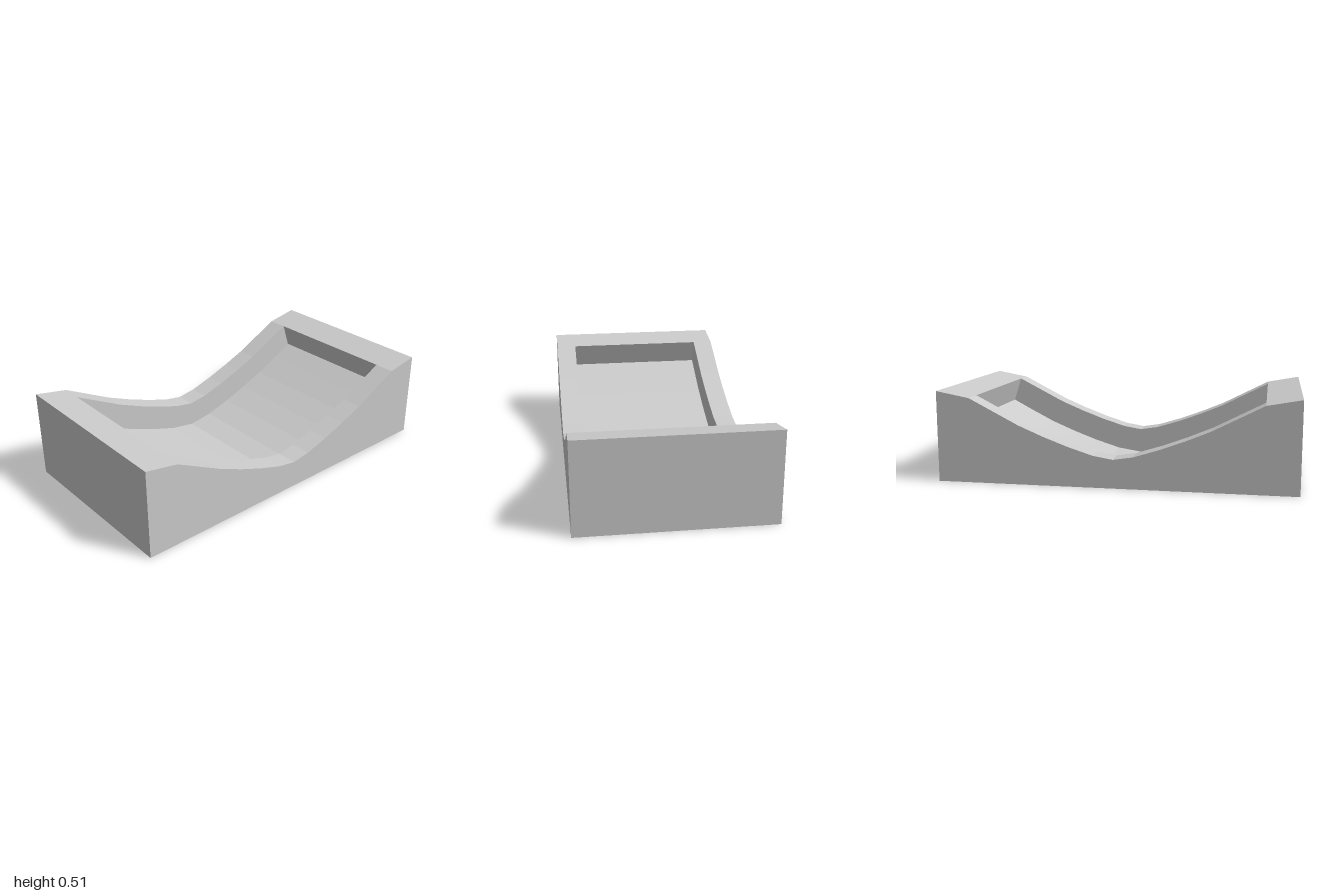
import * as THREE from 'three';

// right half of the curved top, from the lowest point outwards: [x, y]
const HALF = [[0, 0.16], [0.11, 0.178], [0.25, 0.222], [0.39, 0.274], [0.53, 0.333], [0.67, 0.405], [0.81, 0.477], [1, 0.512]];
const DEPTH = 0.15;      // recess depth, measured square to the curve
const HALF_WIDTH = 0.53; // outer half width in z
const HALF_POCKET = 0.41; // recess half width in z

const mirror = (half) => [...half.slice(1).reverse().map(([x, y]) => [-x, y]), ...half];

// shift each point of the half curve down along its normal
function sunken(half) {
  return half.slice(0, -1).map(([x, y], i) => {
    if (i === 0) return [0, y - DEPTH];
    const [x0, y0] = half[i - 1], [x1, y1] = half[i + 1];
    const len = Math.hypot(x1 - x0, y1 - y0);
    return [x + DEPTH * (y1 - y0) / len, y - DEPTH * (x1 - x0) / len];
  });
}

// extrude the area between the base and a top outline from z0 to z1
function slab(name, top, z0, z1, material) {
  const points = [[-1, 0], [1, 0], ...top.slice().reverse()];
  const shape = new THREE.Shape(points.map(([x, y]) => new THREE.Vector2(x, y)));
  const geometry = new THREE.ExtrudeGeometry(shape, { depth: z1 - z0, bevelEnabled: false });
  geometry.translate(0, 0, z0);
  const mesh = new THREE.Mesh(geometry, material);
  mesh.name = name;
  return mesh;
}

export function createModel() {
  const group = new THREE.Group();
  group.name = 'curvedTray';
  const material = new THREE.MeshStandardMaterial({ color: 0xcccccc, flatShading: true });

  // side rails carrying the full curve
  const curve = mirror(HALF);
  group.add(slab('frontRail', curve, HALF_POCKET, HALF_WIDTH, material));
  group.add(slab('backRail', curve, -HALF_WIDTH, -HALF_POCKET, material));

  // middle: raised ends, undercut end walls and the sunken floor
  const [rimX, rimY] = HALF[HALF.length - 2];
  const [endX, endY] = HALF[HALF.length - 1];
  const middle = [[-endX, endY], [-rimX, rimY], ...mirror(sunken(HALF)), [rimX, rimY], [endX, endY]];
  group.add(slab('recessedBed', middle, -HALF_POCKET, HALF_POCKET, material));

  return group;
}
